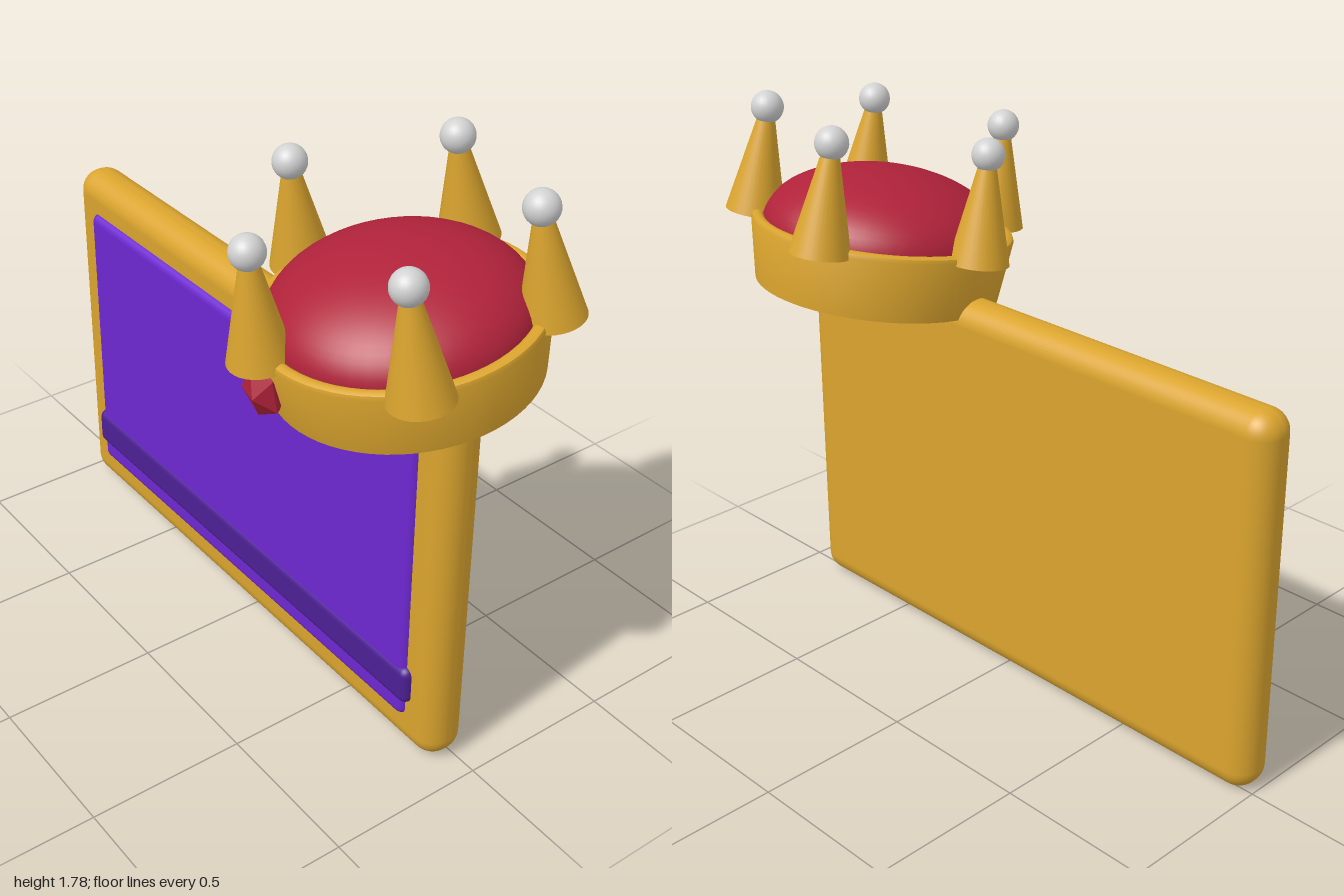
import * as THREE from 'three';
import { toCreasedNormals } from 'three/addons/utils/BufferGeometryUtils.js';
import { RoundedBoxGeometry } from 'three/addons/geometries/RoundedBoxGeometry.js';

function material(name, color) {
  const m = new THREE.MeshStandardMaterial({ color });
  m.name = name;
  return m;
}

function addMesh(parent, name, geometry, mat, x = 0, y = 0, z = 0) {
  const mesh = new THREE.Mesh(geometry, mat);
  mesh.name = name;
  mesh.position.set(x, y, z);
  parent.add(mesh);
  return mesh;
}

export function createModel() {
  const gold = material('gold', 0xdaa42e);
  const purple = material('purple', 0x6d28d0);
  const darkPurple = material('dark purple', 0x4c1f92);
  const red = material('red', 0xb0223a);
  const silver = material('silver', 0xd2d2d2);

  const model = new THREE.Group();
  model.name = 'crownedBoard';

  // Board: rounded gold slab with a raised panel and a band across it
  addMesh(model, 'board', new RoundedBoxGeometry(1.915, 1.213, 0.15, 6, 0.07), gold, -0.042, 0.607, 0.025);
  addMesh(model, 'panel', new RoundedBoxGeometry(1.68, 0.98, 0.06, 4, 0.028), purple, -0.04, 0.61, 0.088);
  addMesh(model, 'band', new RoundedBoxGeometry(1.72, 0.13, 0.06, 4, 0.028), darkPurple, -0.04, 0.245, 0.095);

  // Crown: tipped forward, resting on the upper corner
  const crown = new THREE.Group();
  crown.name = 'crown';
  crown.position.set(0.567, 1.28, -0.025);
  crown.rotation.set(0.14, -0.244, 0.035, 'XZY');
  model.add(crown);

  // Flared ring with a softened top lip
  const profile = [
    [0.388, -0.105], [0.415, 0.088], [0.411, 0.1], [0.4, 0.105], [0.388, 0.105],
    [0.378, 0.098], [0.375, 0.088], [0.358, -0.105], [0.388, -0.105],
  ].map(([x, y]) => new THREE.Vector2(x, y));
  addMesh(crown, 'ring', toCreasedNormals(new THREE.LatheGeometry(profile, 64), 0.7), gold);

  // Cushion: flattened ball inside the ring
  addMesh(crown, 'cushion', new THREE.SphereGeometry(1, 48, 32), red, 0, 0.08, 0).scale.set(0.38, 0.195, 0.38);

  // Five spikes tipped with pearls, the first above the gem
  const spikeGeometry = new THREE.CylinderGeometry(0.025, 0.094, 0.31, 32);
  const pearlGeometry = new THREE.SphereGeometry(0.051, 24, 16);
  for (let i = 0; i < 5; i++) {
    const arm = new THREE.Group();
    arm.name = 'spikeArm' + (i + 1);
    arm.rotation.y = (i * Math.PI * 2) / 5;
    crown.add(arm);
    addMesh(arm, 'spike', spikeGeometry, gold, 0, 0.235, 0.405).rotation.x = -0.04;
    addMesh(arm, 'pearl', pearlGeometry, silver, 0, 0.412, 0.398);
  }

  // Faceted gem on the front of the ring
  const gem = addMesh(crown, 'gem', new THREE.IcosahedronGeometry(1, 0), red, 0, -0.01, 0.408);
  gem.rotation.y = Math.PI / 2;
  gem.scale.set(0.066, 0.096, 0.074);

  return model;
}
